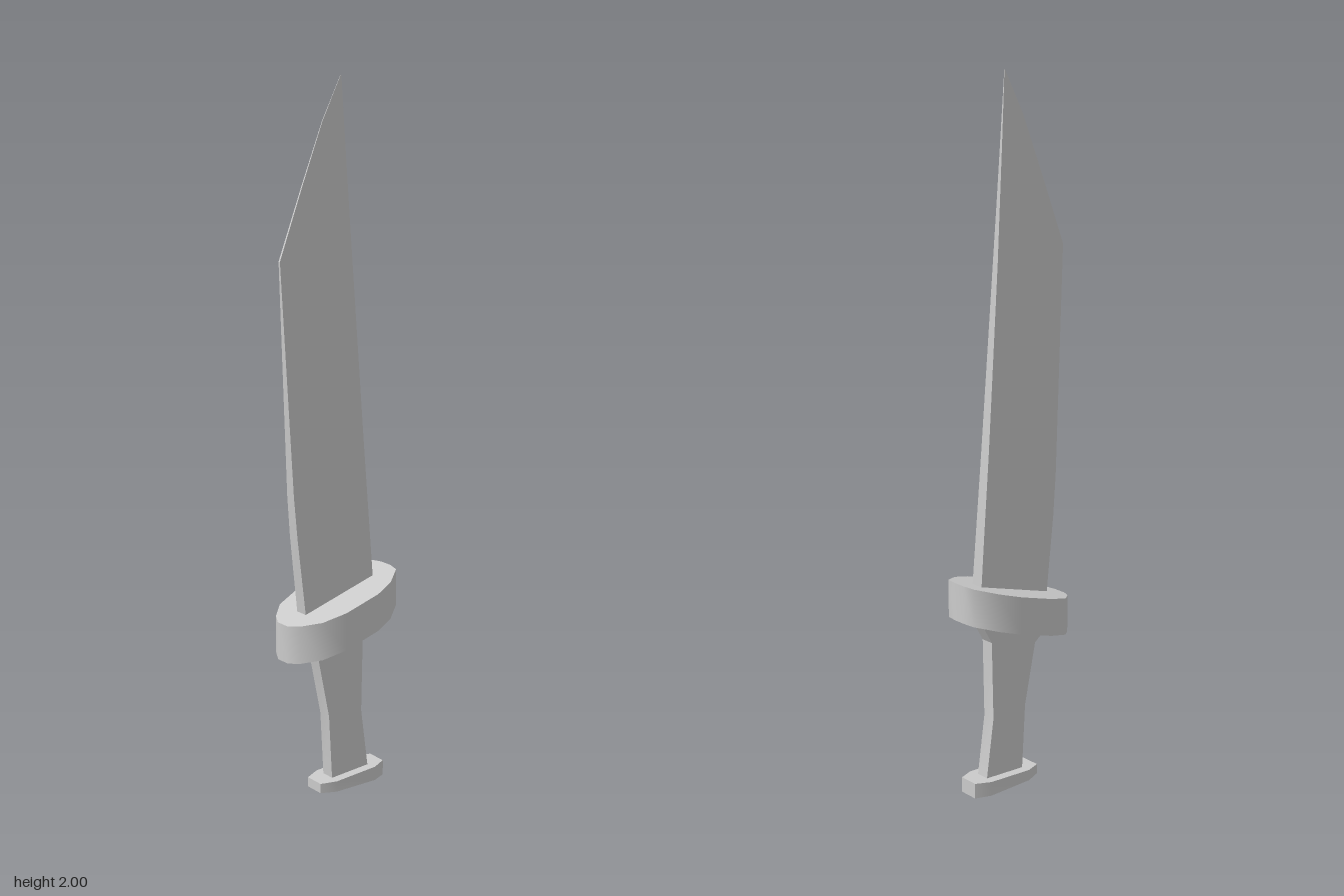
import * as THREE from 'three';
import { toCreasedNormals } from 'three/addons/utils/BufferGeometryUtils.js';

const material = new THREE.MeshStandardMaterial({ color: 0xcccccc });

// Loft four-cornered sections, each row: left x, y, half thickness, right x, y, half thickness
function loft(rows) {
  const points = [], index = [];
  for (const [lx, ly, lh, rx, ry, rh] of rows) {
    points.push(lx, ly, lh, rx, ry, rh, rx, ry, -rh, lx, ly, -lh);
  }
  for (let r = 0; r < rows.length - 1; r++) {
    for (let k = 0; k < 4; k++) {
      const a = r * 4 + k, b = r * 4 + (k + 1) % 4;
      index.push(a, b, b + 4, a, b + 4, a + 4);
    }
  }
  const t = (rows.length - 1) * 4;
  index.push(0, 2, 1, 0, 3, 2, t, t + 1, t + 2, t, t + 2, t + 3);
  const geometry = new THREE.BufferGeometry();
  geometry.setAttribute('position', new THREE.Float32BufferAttribute(points, 3));
  geometry.setIndex(index);
  return geometry;
}

// Upright plate from half an outline [x, z], mirrored in z; bottom and top give y at x
function plate(half, bottom, top) {
  const outline = [...half, ...half.map(([x, z]) => [x, -z]).reverse()];
  const shape = new THREE.Shape(outline.map(([x, z]) => new THREE.Vector2(x, z)));
  const geometry = new THREE.ExtrudeGeometry(shape, { depth: 1, bevelEnabled: false });
  geometry.rotateX(-Math.PI / 2);
  const p = geometry.attributes.position;
  for (let i = 0; i < p.count; i++) {
    const x = p.getX(i);
    p.setY(i, p.getY(i) > 0.5 ? top(x) : bottom(x));
  }
  return geometry;
}

function add(group, name, geometry, crease) {
  const mesh = new THREE.Mesh(toCreasedNormals(geometry, crease), material);
  mesh.name = name;
  group.add(mesh);
}

export function createModel() {
  const group = new THREE.Group();
  group.name = 'sword';

  // Blade: thick spine on the right, honed edge on the left, slanted tip
  add(group, 'blade', loft([
    [-0.11, 0.48, 0.02, 0.125, 0.56, 0.02],
    [-0.143, 0.77, 0.017, 0.11, 0.75, 0.018],
    [-0.153, 0.89, 0.015, 0.09, 0.995, 0.016],
    [-0.185, 1.53, 0.003, 0.053, 1.5, 0.01],
    [-0.11, 1.72, 0.002, 0.043, 1.65, 0.007],
    [-0.042, 1.885, 0.001, 0.032, 1.82, 0.004],
    [0.019, 2, 0.0005, 0.021, 2, 0.0005],
  ]), 0.4);

  // Grip: waisted, flaring up into the guard
  add(group, 'grip', loft([
    [-0.026, 0.03, 0.02, 0.106, 0.03, 0.02],
    [-0.037, 0.228, 0.02, 0.08, 0.217, 0.02],
    [-0.074, 0.407, 0.02, 0.085, 0.444, 0.02],
    [-0.116, 0.44, 0.02, 0.12, 0.505, 0.02],
    [-0.116, 0.49, 0.02, 0.12, 0.555, 0.02],
  ]), 0.4);

  // Guard: slanted oval plate with upright sides
  const slope = 0.273;
  add(group, 'guard', plate([
    [0.185, 0.02], [0.177, 0.055], [0.122, 0.097], [0.06, 0.117],
    [-0.052, 0.117], [-0.12, 0.097], [-0.165, 0.055], [-0.183, 0.022],
  ].reverse().map(([x, z]) => [x, -z]),
  (x) => 0.474 + slope * x, (x) => 0.582 + slope * x), 0.75);

  // Pommel: small long plate closing the grip
  add(group, 'pommel', plate([
    [-0.075, -0.029], [-0.03, -0.047], [0.11, -0.047], [0.155, -0.029],
  ], (x) => 0.006 - 0.035 * (x + 0.02), (x) => 0.039 + 0.035 * x), 0.4);

  return group;
}
